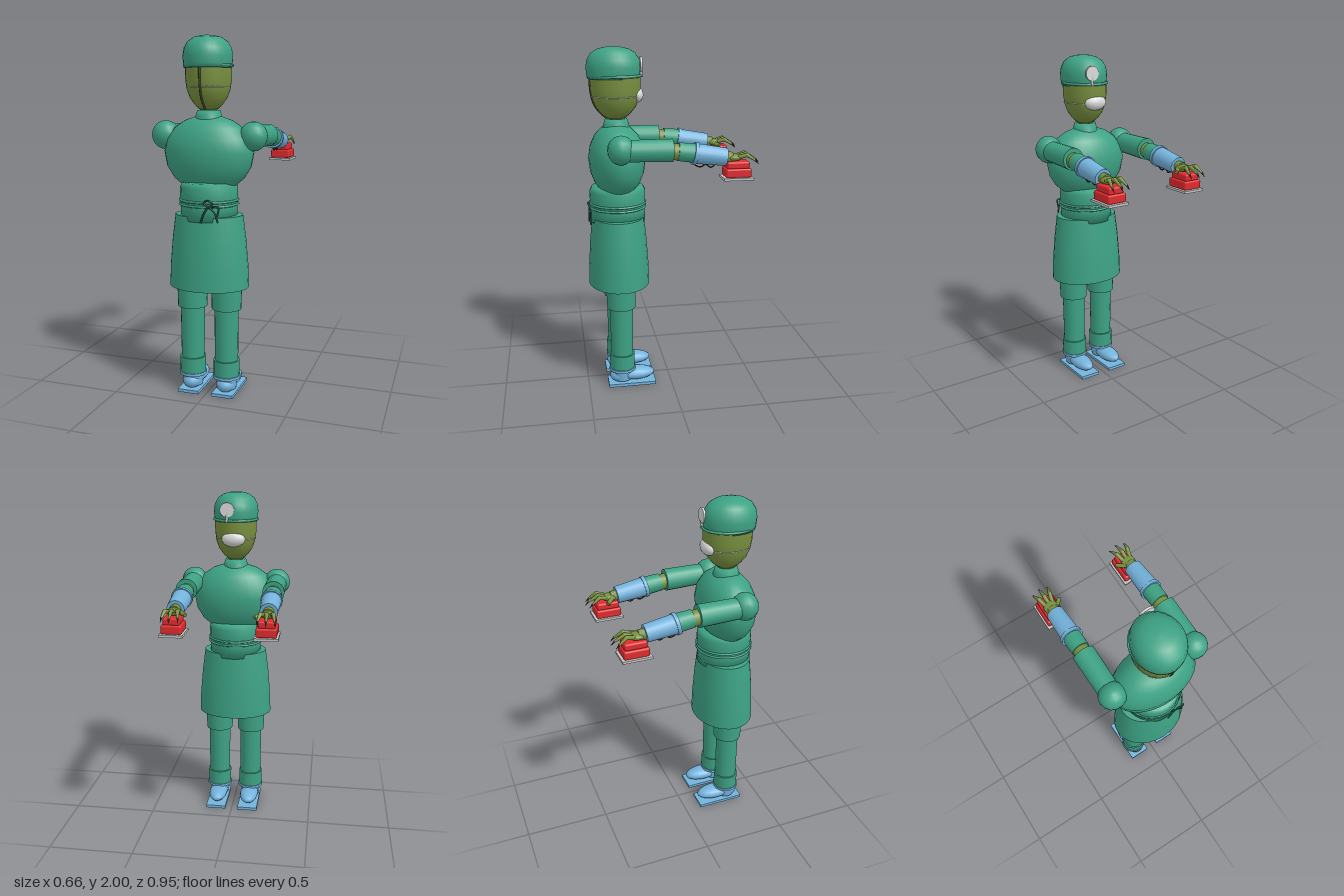
import * as THREE from 'three';
import { RoundedBoxGeometry } from 'three/addons/geometries/RoundedBoxGeometry.js';

const mat = (name, color, side = THREE.FrontSide) => {
  const m = new THREE.MeshStandardMaterial({ color, side });
  m.name = name;
  return m;
};

export function createModel() {
  const cloth = mat('surgical green', 0x3da284);
  const skin = mat('olive skin', 0x78903f);
  const seam = mat('dark olive', 0x39451f);
  const blue = mat('light blue', 0x74b3dc);
  const red = mat('red', 0xe02a2e);
  const metal = mat('light grey', 0xc4c4c4);
  const white = mat('white', 0xdadada);
  const tie = mat('dark green', 0x256652);
  const claw = mat('claw black', 0x2a2a26);

  const model = new THREE.Group();
  const BZ = 0.295; // z of the body axis
  const V = (x, y, z) => new THREE.Vector3(x, y, z);

  const add = (name, geo, material, parent = model) => {
    const m = new THREE.Mesh(geo, material);
    m.name = name;
    parent.add(m);
    return m;
  };
  // profile rows are [radius, y], bottom to top, flattened in z by depth
  const lathe = (name, rows, depth, material, z = BZ, x = 0, parent = model) => {
    const g = new THREE.LatheGeometry(rows.map(([r, y]) => new THREE.Vector2(r, y)), 28);
    g.scale(1, 1, depth);
    g.translate(x, 0, z);
    return add(name, g, material, parent);
  };
  // tapered round limb from a to b
  const limb = (name, a, b, ra, rb, material, parent = model, sides = 16) => {
    const d = b.clone().sub(a);
    const m = add(name, new THREE.CylinderGeometry(rb, ra, d.length(), sides), material, parent);
    m.position.copy(a).add(b).multiplyScalar(0.5);
    m.quaternion.setFromUnitVectors(V(0, 1, 0), d.normalize());
    return m;
  };
  const ball = (name, p, rx, ry, rz, material, parent = model, w = 16, h = 10) => {
    const m = add(name, new THREE.SphereGeometry(1, w, h), material, parent);
    m.position.copy(p);
    m.scale.set(rx, ry, rz);
    return m;
  };
  const tube = (name, pts, r, material, parent = model, closed = false) =>
    add(name, new THREE.TubeGeometry(new THREE.CatmullRomCurve3(pts, closed), 24, r, 6, closed), material, parent);
  const ring = (name, y, rx, rz, r, material) =>
    tube(name, Array.from({ length: 20 }, (_, i) => {
      const a = i / 20 * Math.PI * 2;
      return V(Math.cos(a) * rx, y, BZ + Math.sin(a) * rz);
    }), r, material, model, true);

  // Head, cap and neck
  const headRows = [[0, 1.605], [0.05, 1.61], [0.075, 1.635], [0.1, 1.67], [0.116, 1.715],
    [0.124, 1.77], [0.125, 1.84]];
  lathe('head', headRows, 1.14, skin);
  lathe('neck', [[0.05, 1.57], [0.046, 1.6], [0.053, 1.63]], 1.1, skin);
  lathe('cap', [[0, 1.828], [0.127, 1.828], [0.13, 1.85], [0.133, 1.89], [0.127, 1.93],
    [0.108, 1.965], [0.075, 1.988], [0.035, 1.998], [0, 2]], 1.15, cloth, 0.305);
  ring('capBand', 1.842, 0.128, 0.146, 0.008, cloth);
  tube('headSeam', headRows.slice(1).map(([r, y]) => V(0, y, BZ + r * 1.14)), 0.006, seam);
  ring('maskStrap', 1.73, 0.118, 0.135, 0.003, metal);
  ball('faceMask', V(0, 1.735, 0.178), 0.07, 0.045, 0.04, white);
  limb('headMirror', V(0.035, 1.905, 0.162), V(0.035, 1.905, 0.15), 0.042, 0.042, white, model, 20);
  limb('mirrorBracket', V(0.035, 1.835, 0.152), V(0.035, 1.9, 0.158), 0.008, 0.008, metal, model, 8);

  // Gown
  lathe('collar', [[0.08, 1.54], [0.073, 1.57], [0.062, 1.605], [0, 1.605]], 1, cloth);
  lathe('torso', [[0, 1.165], [0.08, 1.17], [0.145, 1.19], [0.2, 1.235], [0.24, 1.3], [0.255, 1.38],
    [0.238, 1.45], [0.195, 1.51], [0.135, 1.55], [0.075, 1.57], [0, 1.572]], 0.64, cloth);
  lathe('waist', [[0, 1.01], [0.158, 1.01], [0.157, 1.08], [0.16, 1.14], [0.16, 1.19],
    [0.148, 1.215], [0.11, 1.22], [0, 1.22]], 1.01, cloth);
  for (const y of [1.095, 1.118]) ring('belt', y, 0.161, 0.162, 0.007, cloth);
  lathe('skirt', [[0, 0.628], [0.228, 0.628], [0.228, 0.628], [0.223, 0.75], [0.21, 0.9],
    [0.192, 1.035], [0.192, 1.035], [0, 1.04]], 0.79, cloth);

  // Bow at the back of the waist
  const bz = 0.464;
  tube('bowLoop', [V(0.055, 1.1, bz), V(0.03, 1.12, bz), V(0.06, 1.135, bz + 0.008), V(0.08, 1.115, bz)], 0.005, tie, model, true);
  tube('bowTail', [V(0.055, 1.1, bz), V(0.03, 1.06, bz), V(0.012, 1.01, bz)], 0.005, tie);
  tube('bowTail', [V(0.06, 1.1, bz), V(0.09, 1.07, bz), V(0.108, 1.015, bz - 0.005)], 0.005, tie);
  tube('bowTail', [V(0.065, 1.1, bz), V(0.11, 1.1, bz - 0.005), V(0.105, 1.05, bz - 0.004)], 0.005, tie);

  for (const s of [1, -1]) {
    const side = s > 0 ? 'left' : 'right';

    // Leg and shoe
    const leg = new THREE.Group();
    leg.name = side + 'Leg';
    model.add(leg);
    const lx = s * 0.102;
    const P = (y) => V(lx, y, BZ);
    limb('shortsLeg', P(0.5), P(0.66), 0.084, 0.088, cloth, leg, 20);
    limb('trouserLeg', P(0.18), P(0.52), 0.066, 0.069, cloth, leg, 20);
    limb('trouserCuff', P(0.1), P(0.2), 0.074, 0.075, cloth, leg, 20);
    limb('shoeCuff', P(0.094), P(0.11), 0.079, 0.079, blue, leg, 20);
    limb('ankle', P(0.03), P(0.1), 0.056, 0.062, blue, leg, 20);
    ball('shoe', V(lx, 0.06, 0.22), 0.058, 0.04, 0.12, blue, leg);
    ball('heel', V(lx, 0.055, 0.31), 0.054, 0.045, 0.062, blue, leg);
    add('sole', new THREE.BoxGeometry(0.125, 0.018, 0.285), blue, leg).position.set(lx, 0.009, 0.24);

    // Arm reaching forward
    const arm = new THREE.Group();
    arm.name = side + 'Arm';
    model.add(arm);
    const ax = s * 0.254;
    const A = (y, z, dx = 0) => V(ax + s * dx, y, z);
    ball('shoulder', A(1.467, 0.295), 0.078, 0.08, 0.076, cloth, arm, 14, 10);
    limb('upperSleeve', A(1.462, 0.28), A(1.459, 0.015), 0.06, 0.064, cloth, arm);
    limb('elbow', A(1.453, 0.04), A(1.448, -0.03), 0.046, 0.046, skin, arm);
    limb('lowerSleeve', A(1.451, -0.015), A(1.439, -0.115), 0.051, 0.054, cloth, arm);
    limb('gloveCuff', A(1.44, -0.1), A(1.436, -0.12), 0.063, 0.063, blue, arm);
    limb('glove', A(1.438, -0.11), A(1.413, -0.285), 0.057, 0.05, blue, arm);
    tube('gloveTie', [A(1.38, -0.1), A(1.362, -0.14), A(1.375, -0.17), A(1.358, -0.2), A(1.375, -0.225)], 0.004, claw, arm);

    // Clawed hand: three fingers and an inward thumb
    limb('wrist', A(1.415, -0.27), A(1.41, -0.32), 0.032, 0.03, skin, arm, 10);
    ball('palm', A(1.41, -0.33), 0.041, 0.02, 0.047, skin, arm, 12, 8);
    for (const [bx, kx, tx, tz] of [[-0.02, -0.034, -0.045, -0.44], [0, 0, 0, -0.452], [0.02, 0.034, 0.045, -0.438]]) {
      const base = A(1.412, -0.345, bx), knuckle = A(1.427, -0.395, kx), tip = A(1.398, tz, tx);
      limb('finger', base, knuckle, 0.013, 0.012, skin, arm, 8);
      ball('knuckle', knuckle, 0.0125, 0.0125, 0.0125, skin, arm, 8, 6);
      limb('fingerTip', knuckle, tip, 0.012, 0.006, skin, arm, 8);
      limb('claw', tip, A(1.378, tz - 0.02, tx * 1.03), 0.006, 0.001, claw, arm, 6);
    }
    limb('thumb', A(1.408, -0.32, -0.03), A(1.398, -0.355, -0.068), 0.014, 0.011, skin, arm, 8);

    // Paddle held under the hand
    const paddle = new THREE.Group();
    paddle.name = side + 'Paddle';
    paddle.position.set(ax, 0, -0.347);
    model.add(paddle);
    add('paddlePlate', new THREE.BoxGeometry(0.13, 0.014, 0.168), metal, paddle).position.y = 1.297;
    add('paddleBody', new RoundedBoxGeometry(0.114, 0.05, 0.145, 2, 0.01), red, paddle).position.y = 1.329;
    add('paddleGrip', new RoundedBoxGeometry(0.092, 0.04, 0.128, 2, 0.01), red, paddle).position.y = 1.371;
  }
  return model;
}
